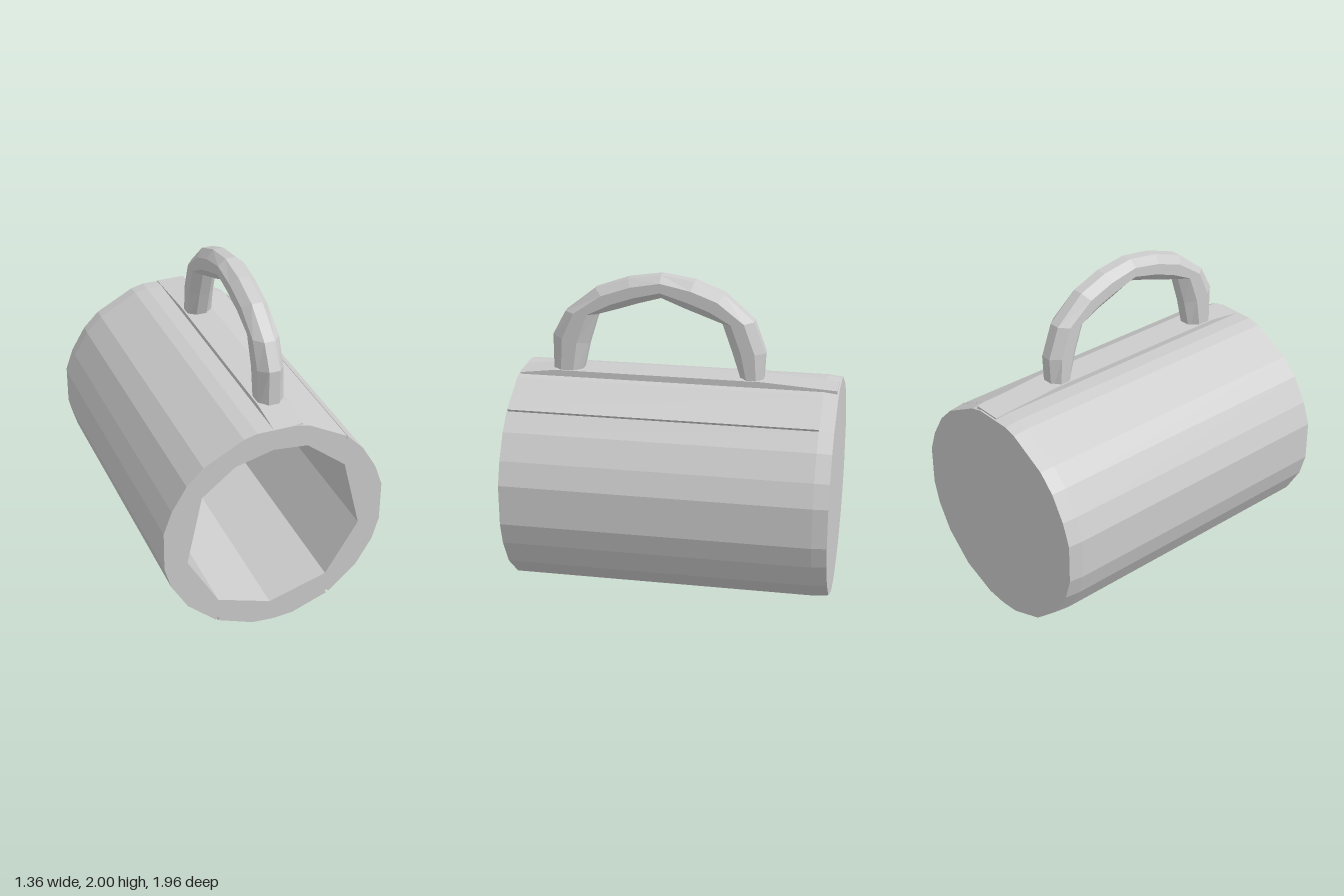
import * as THREE from 'three';

const CY = 0.68; // height of the cup's axis

// Right half of the faceted outline, bottom to top: [x, y, groove flag]
const HALF = [
  [0.13, 0.01], [0.36, 0.1, 1], [0.54, 0.26], [0.64, 0.43], [0.68, 0.57], [0.68, 0.82],
  [0.63, 0.96], [0.54, 1.11], [0.44, 1.21, 1], [0.2, 1.34], [0.12, 1.36],
];

// Closed outline about the axis, optionally with narrow grooves along the seams
function outline(grooved) {
  const pts = [[0, 0], ...HALF];
  for (const [x, y, g] of [...HALF].reverse()) pts.push([-x, y, g && y < 0.5]);
  const out = [];
  for (const [x, y, g] of pts) {
    const v = new THREE.Vector2(x, y - CY);
    if (!grooved || !g) { out.push(v); continue; }
    const r = v.length(), a = v.angle();
    for (const [da, s] of [[-0.011, 1], [-0.011, 0.97], [0.011, 0.97], [0.011, 1]]) {
      out.push(new THREE.Vector2(Math.cos(a + da) * r * s, Math.sin(a + da) * r * s));
    }
  }
  return out;
}

// Handle: octagonal sections between matching outer and inner points
function handleGeometry() {
  const stations = [ // outer z, y, inner z, y
    [0.77, 1.33, 0.6, 1.33], [0.77, 1.6, 0.55, 1.55], [0.69, 1.75, 0.49, 1.74],
    [0.5, 1.9, 0.36, 1.78], [0.3, 1.97, 0.24, 1.82], [0.1, 2.0, 0.1, 1.86],
    [-0.1, 1.97, -0.05, 1.8], [-0.28, 1.9, -0.16, 1.76], [-0.46, 1.74, -0.27, 1.72],
    [-0.53, 1.55, -0.33, 1.55], [-0.52, 1.33, -0.4, 1.33],
  ];
  const N = 8, k = 1 / Math.cos(Math.PI / N), pos = [], idx = [];
  stations.forEach(([oz, oy, iz, iy], i) => {
    for (let j = 0; j < N; j++) {
      const a = ((j + 0.5) / N) * Math.PI * 2;
      const c = Math.cos(a) * k, s = Math.sin(a) * k / 2;
      pos.push(0.07 + 0.08 * c, (oy + iy) / 2 + (oy - iy) * s, (oz + iz) / 2 + (oz - iz) * s);
      if (i === stations.length - 1) continue;
      const p = i * N + j, q = i * N + (j + 1) % N;
      idx.push(p, p + N, q, q, p + N, q + N);
    }
  });
  const g = new THREE.BufferGeometry();
  g.setAttribute('position', new THREE.Float32BufferAttribute(pos, 3));
  g.setIndex(idx);
  const flat = g.toNonIndexed();
  flat.computeVertexNormals();
  return flat;
}

export function createModel() {
  const group = new THREE.Group();
  const grey = new THREE.MeshStandardMaterial({ color: 0xcccccc });
  grey.name = 'grey';
  const add = (name, geometry) => {
    const m = new THREE.Mesh(geometry, grey);
    m.name = name;
    group.add(m);
    return m;
  };

  // Thick wall with a coarse ten-sided bore, open at the front
  const wallShape = new THREE.Shape(outline(true));
  const bore = [
    [-0.02, 1.23], [0.19, 1.21], [0.43, 1.02], [0.54, 0.58], [0.34, 0.25],
    [-0.02, 0.14], [-0.35, 0.25], [-0.54, 0.58], [-0.45, 1.01], [-0.25, 1.17],
  ].map(([x, y]) => new THREE.Vector2(x, y - CY));
  wallShape.holes.push(new THREE.Path(bore));
  const wall = new THREE.ExtrudeGeometry(wallShape, { depth: 1.87, bevelEnabled: false });
  add('cupWall', wall.translate(0, CY, -0.89));

  // Closed base, very slightly tapered at the back
  const base = new THREE.ExtrudeGeometry(new THREE.Shape(outline(false)), { depth: 0.09, bevelEnabled: false });
  const p = base.attributes.position;
  for (let i = 0; i < p.count; i++) {
    if (p.getZ(i) < 0.01) p.setXY(i, p.getX(i) * 0.985, p.getY(i) * 0.985);
  }
  base.computeVertexNormals();
  add('cupBase', base.translate(0, CY, -0.98));

  // Low raised strip under the handle, falling away to both ends
  const strip = new THREE.Shape(
    [[-0.97, 1.3], [0.97, 1.3], [0.97, 1.36], [0.75, 1.388], [-0.52, 1.388], [-0.97, 1.36]]
      .map(([z, y]) => new THREE.Vector2(z, y)));
  const stripGeo = new THREE.ExtrudeGeometry(strip, { depth: 0.18, bevelEnabled: false });
  add('handleStrip', stripGeo.rotateY(-Math.PI / 2).translate(0.16, 0, 0));

  add('handle', handleGeometry());
  return group;
}
